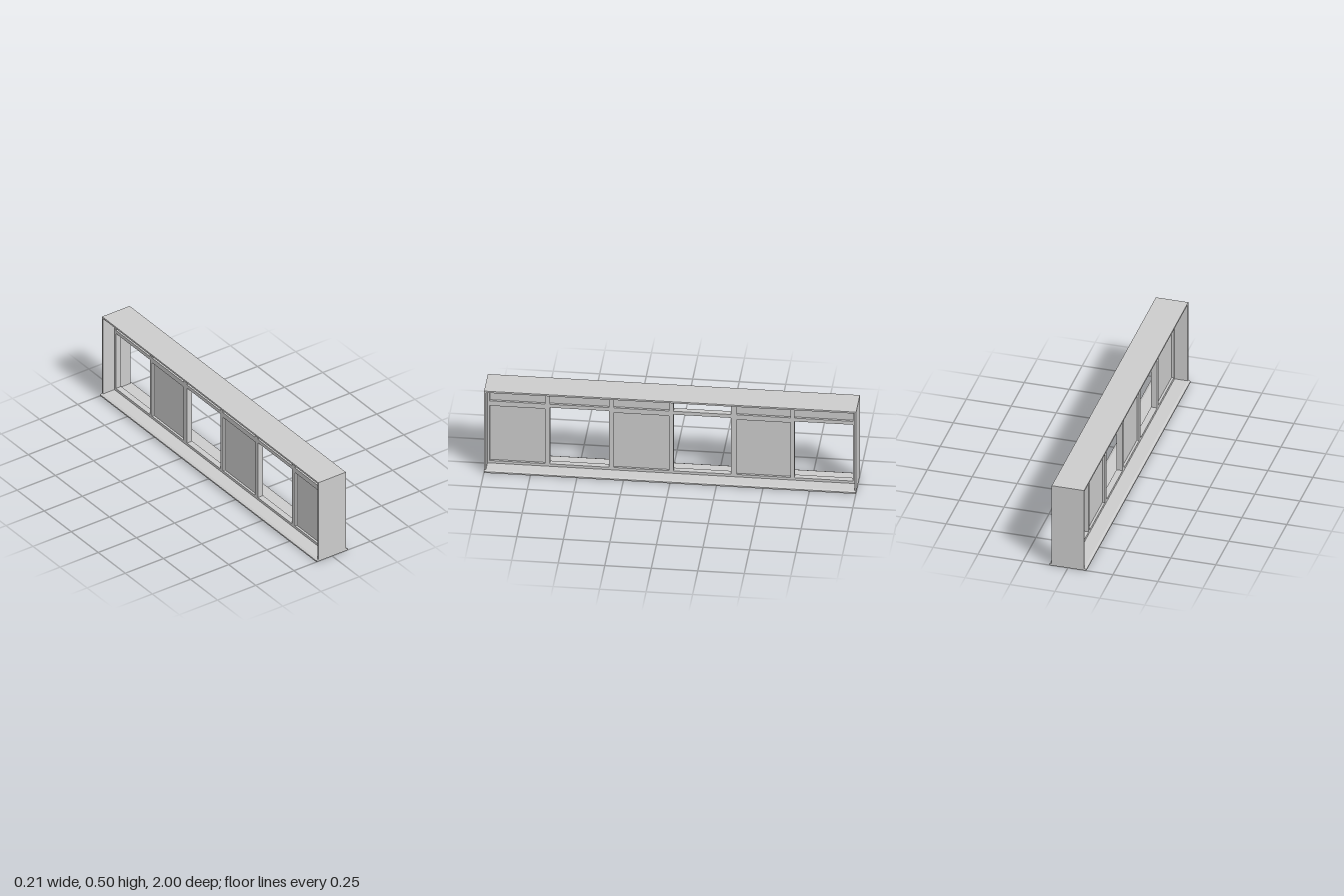
import * as THREE from 'three';

const material = new THREE.MeshStandardMaterial({ color: 0xcccccc, flatShading: true });

function add(group, geometry, name) {
  const mesh = new THREE.Mesh(geometry, material);
  mesh.name = name;
  group.add(mesh);
}

const rect = (Type, z0, z1, y0, y1) => new Type([
  new THREE.Vector2(z0, y0), new THREE.Vector2(z1, y0),
  new THREE.Vector2(z1, y1), new THREE.Vector2(z0, y1),
]);

// Extrudes a shape drawn in (z, y) across the wall, centred on x = 0
function acrossWall(shape, depth) {
  const g = new THREE.ExtrudeGeometry(shape, { depth, bevelEnabled: false });
  g.translate(0, 0, -depth / 2);
  g.rotateY(-Math.PI / 2);
  return g;
}

export function createModel() {
  const model = new THREE.Group();
  model.name = 'windowBand';

  // Thin lining around the whole opening
  const lining = rect(THREE.Shape, -1, 1, 0.01, 0.5);
  lining.holes.push(rect(THREE.Path, -0.99, 0.99, 0.012, 0.49));
  add(model, acrossWall(lining, 0.18), 'lining');

  // Sill with a sloped nosing on both sides
  const profile = new THREE.Shape([
    [-0.103, 0], [0.103, 0], [0.103, 0.008], [0.09, 0.013], [-0.09, 0.013], [-0.103, 0.008],
  ].map(([x, y]) => new THREE.Vector2(x, y)));
  const sill = new THREE.ExtrudeGeometry(profile, { depth: 2, bevelEnabled: false });
  sill.translate(0, 0, -1);
  add(model, sill, 'sill');

  // Frame of six bays, each with a lower and an upper light
  const bays = [
    [0.68, 0.978], [0.337, 0.655], [0.015, 0.31],
    [-0.318, -0.01], [-0.64, -0.35], [-0.976, -0.66],
  ];
  const frame = rect(THREE.Shape, -0.99, 0.99, 0.013, 0.49);
  const panes = new THREE.Group();
  panes.name = 'panes';
  const addPane = (z0, z1, y0, y1, name) => {
    const pane = new THREE.BoxGeometry(0.008, y1 - y0, z1 - z0);
    pane.translate(0, (y0 + y1) / 2, (z0 + z1) / 2);
    add(panes, pane, name);
  };
  bays.forEach(([z0, z1], i) => {
    const closed = i % 2 === 0;
    const top = closed ? 0.368 : 0.377;
    frame.holes.push(rect(THREE.Path, z0, z1, 0.028, top));
    frame.holes.push(rect(THREE.Path, z0, z1, 0.398, 0.48));
    // Every other lower light is open, and one upper light
    if (closed) addPane(z0, z1, 0.028, top, 'lowerPane');
    if (i !== 3) addPane(z0, z1, 0.398, 0.48, 'upperPane');
  });
  add(model, acrossWall(frame, 0.034), 'frame');
  model.add(panes);

  return model;
}
